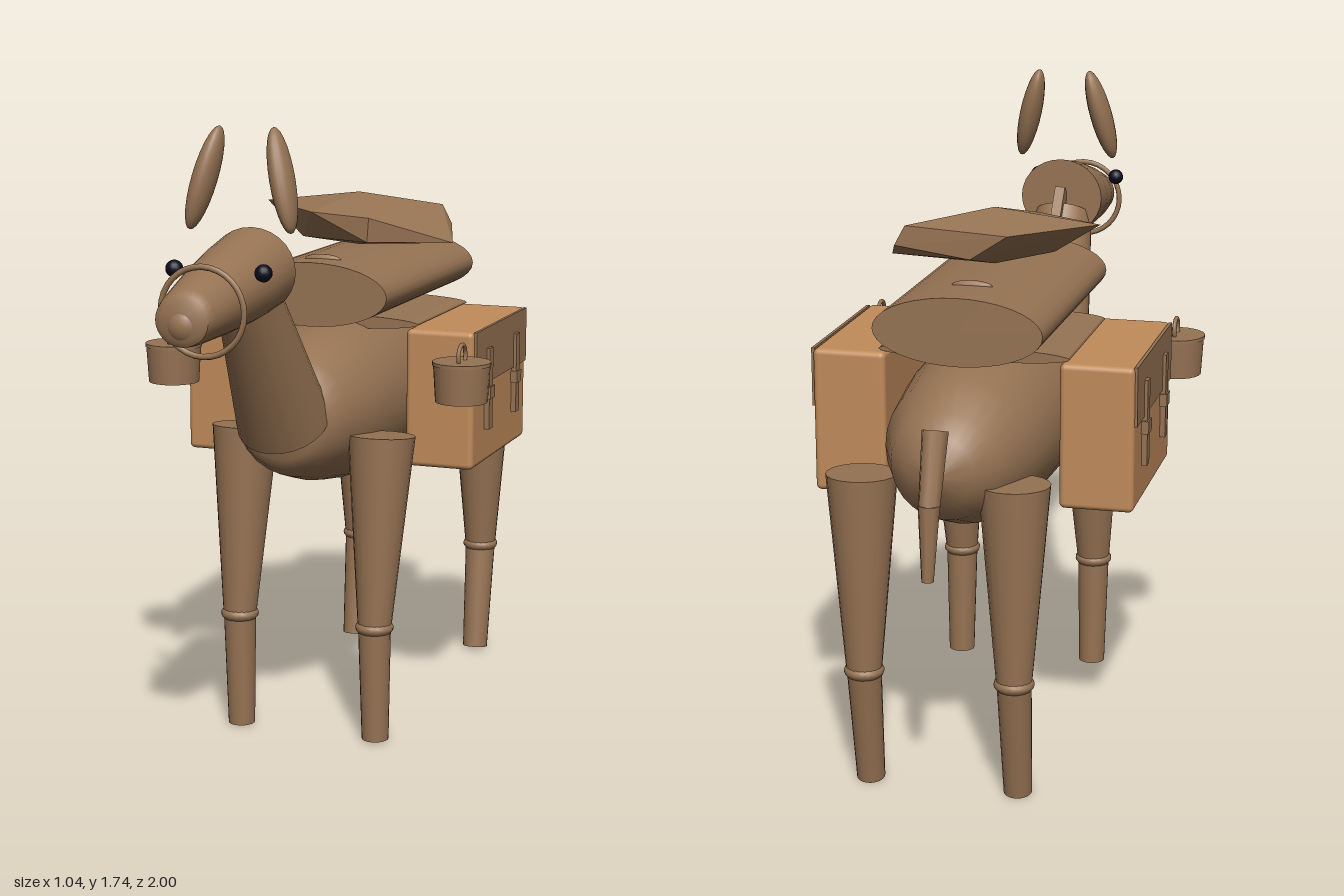
import * as THREE from 'three';
import { toCreasedNormals } from 'three/addons/utils/BufferGeometryUtils.js';
import { RoundedBoxGeometry } from 'three/addons/geometries/RoundedBoxGeometry.js';
import { ConvexGeometry } from 'three/addons/geometries/ConvexGeometry.js';

export function createModel() {
  const model = new THREE.Group();
  model.name = 'packAnimal';
  const material = (name, color) => {
    const m = new THREE.MeshStandardMaterial({ color });
    m.name = name;
    return m;
  };
  const brown = material('brown', 0x967353);
  const tan = material('tan', 0xc08b5a);
  const dark = material('eyeBlack', 0x0a0a1e);
  const UP = new THREE.Vector3(0, 1, 0);

  const add = (name, geometry, mat = brown, pos = [0, 0, 0], parent = model) => {
    const mesh = new THREE.Mesh(geometry, mat);
    mesh.name = name;
    mesh.position.set(...pos);
    parent.add(mesh);
    return mesh;
  };
  // Turns the y axis of a mesh toward the direction from a to b, centred between them
  const between = (mesh, a, b) => {
    const va = new THREE.Vector3(...a), vb = new THREE.Vector3(...b);
    mesh.position.copy(va).add(vb).multiplyScalar(0.5);
    mesh.quaternion.setFromUnitVectors(UP, vb.sub(va).normalize());
    return mesh;
  };
  const limb = (name, a, b, ra, rb, sides = 20, parent = model) => {
    const length = new THREE.Vector3(...a).distanceTo(new THREE.Vector3(...b));
    return between(add(name, new THREE.CylinderGeometry(rb, ra, length, sides), brown, [0, 0, 0], parent), a, b);
  };
  // Profile of [z, radius] turned around the z axis
  const latheZ = (profile) => {
    const g = new THREE.LatheGeometry(profile.map(([z, r]) => new THREE.Vector2(r, z)), 28);
    return g.rotateX(Math.PI / 2);
  };

  // Barrel-shaped body
  add('body', toCreasedNormals(latheZ([
    [-0.9, 0], [-0.895, 0.025], [-0.86, 0.09], [-0.815, 0.142], [-0.67, 0.2], [-0.45, 0.227], [-0.2, 0.235],
    [0, 0.229], [0.14, 0.206], [0.25, 0.172], [0.31, 0.14], [0.33, 0.11], [0.33, 0],
  ]), 0.8), brown, [0, 0.925, 0]);

  // Neck and mane
  limb('neck', [0, 0.923, 0.312], [0, 1.31, 0.565], 0.13, 0.085, 24);
  between(add('mane', new THREE.BoxGeometry(0.03, 0.31, 0.045)), [0, 1.15, 0.335], [0, 1.385, 0.525]);

  // Head: tapered, drooping toward the muzzle
  const headGeometry = latheZ([
    [0.53, 0], [0.53, 0.114], [0.65, 0.108], [0.8, 0.093], [0.95, 0.073], [0.98, 0.066], [0.99, 0.05], [0.99, 0],
  ]);
  const p = headGeometry.attributes.position;
  for (let i = 0; i < p.count; i++) {
    p.setX(i, p.getX(i) * 1.08);
    p.setY(i, p.getY(i) + 1.368 - (p.getZ(i) - 0.53) * 0.15);
  }
  add('head', toCreasedNormals(headGeometry, 0.8));
  add('nose', new THREE.SphereGeometry(0.056, 20, 14), brown, [0, 1.287, 0.945]);
  add('noseband', new THREE.TorusGeometry(0.114, 0.008, 8, 32), brown, [0, 1.305, 0.855]);

  // Ears and eyes
  for (const s of [-1, 1]) {
    const ear = add('ear', new THREE.SphereGeometry(1, 18, 14));
    between(ear, [s * 0.142, 1.48, 0.61], [s * 0.075, 1.745, 0.56]);
    ear.scale.set(0.032, 0.14, 0.046);
    add('eye', new THREE.SphereGeometry(0.023, 14, 10), dark, [s * 0.123, 1.395, 0.75]);
  }

  // Legs: tapered thigh, joint and shank
  for (const x of [-0.17, 0.238]) {
    for (const [name, topZ, kneeZ, footZ] of [['frontLeg', 0.178, 0.222, 0.218], ['backLeg', -0.76, -0.78, -0.73]]) {
      const leg = new THREE.Group();
      leg.name = name;
      model.add(leg);
      const knee = [x - 0.003, 0.335, kneeZ];
      limb('thigh', knee, [x, 0.875, topZ], 0.047, 0.094, 20, leg);
      limb('shank', [x - 0.001, 0.008, footZ], knee, 0.038, 0.046, 20, leg);
      add('joint', new THREE.SphereGeometry(0.054, 18, 12), brown, knee, leg).scale.y = 0.5;
    }
  }

  // Tail
  limb('tailBase', [0, 0.85, -0.965], [0, 1.045, -0.897], 0.028, 0.035, 8);
  limb('tailTip', [0, 0.675, -0.982], [0, 0.87, -0.963], 0.016, 0.029, 8);

  // Saddle pad and bedroll
  const pad = add('saddlePad', new THREE.CylinderGeometry(0.26, 0.26, 0.46, 28).rotateX(Math.PI / 2), brown, [0, 1.147, -0.295]);
  pad.scale.y = 0.075;
  const roll = add('bedroll', new THREE.CylinderGeometry(0.226, 0.226, 0.8, 36).rotateX(Math.PI / 2), brown, [0, 1.245, -0.29]);
  roll.scale.y = 0.4;
  for (const z of [0.01, -0.53]) {
    add('rollTie', new THREE.SphereGeometry(1, 14, 8), brown, [0, 1.333, z]).scale.set(0.055, 0.014, 0.012);
  }

  // Faceted bundle on top
  const bundle = [
    [-0.29, 1.46, -0.29], [-0.075, 1.45, -0.455], [0.22, 1.455, -0.4], [0.25, 1.4, -0.4], [0.285, 1.355, -0.3],
    [0.095, 1.44, -0.105], [0.09, 1.37, -0.105], [-0.085, 1.45, -0.115], [0, 1.495, -0.29],
    [-0.15, 1.365, -0.22], [0, 1.34, -0.29], [0.03, 1.38, -0.44],
  ].map((v) => new THREE.Vector3(...v));
  add('bundle', new ConvexGeometry(bundle));

  // Saddlebags with flap, straps and buckles, and a hanging pot on each side
  for (const s of [-1, 1]) {
    const bag = new THREE.Group();
    bag.name = 'saddlebag';
    model.add(bag);
    add('bagBox', new RoundedBoxGeometry(0.2, 0.395, 0.525, 3, 0.015), tan, [s * 0.337, 0.943, -0.287], bag);
    add('flap', new THREE.BoxGeometry(0.009, 0.16, 0.5), brown, [s * 0.439, 1.06, -0.287], bag);
    for (const z of [-0.152, -0.422]) {
      add('strap', new THREE.BoxGeometry(0.015, 0.235, 0.034), brown, [s * 0.445, 0.963, z], bag);
      add('buckle', new THREE.BoxGeometry(0.022, 0.035, 0.044), brown, [s * 0.446, 0.952, z], bag);
    }
    const pot = new THREE.Group();
    pot.name = 'pot';
    pot.position.set(s * 0.436, 0, 0.078);
    model.add(pot);
    add('potBody', new THREE.CylinderGeometry(0.08, 0.073, 0.112, 24), brown, [0, 1.021, 0], pot);
    add('potRim', new THREE.CylinderGeometry(0.082, 0.082, 0.01, 24), brown, [0, 1.073, 0], pot);
    add('potHandle', new THREE.TorusGeometry(0.032, 0.006, 8, 24).rotateY(Math.PI / 2), brown, [0, 1.092, 0], pot);
  }
  return model;
}
